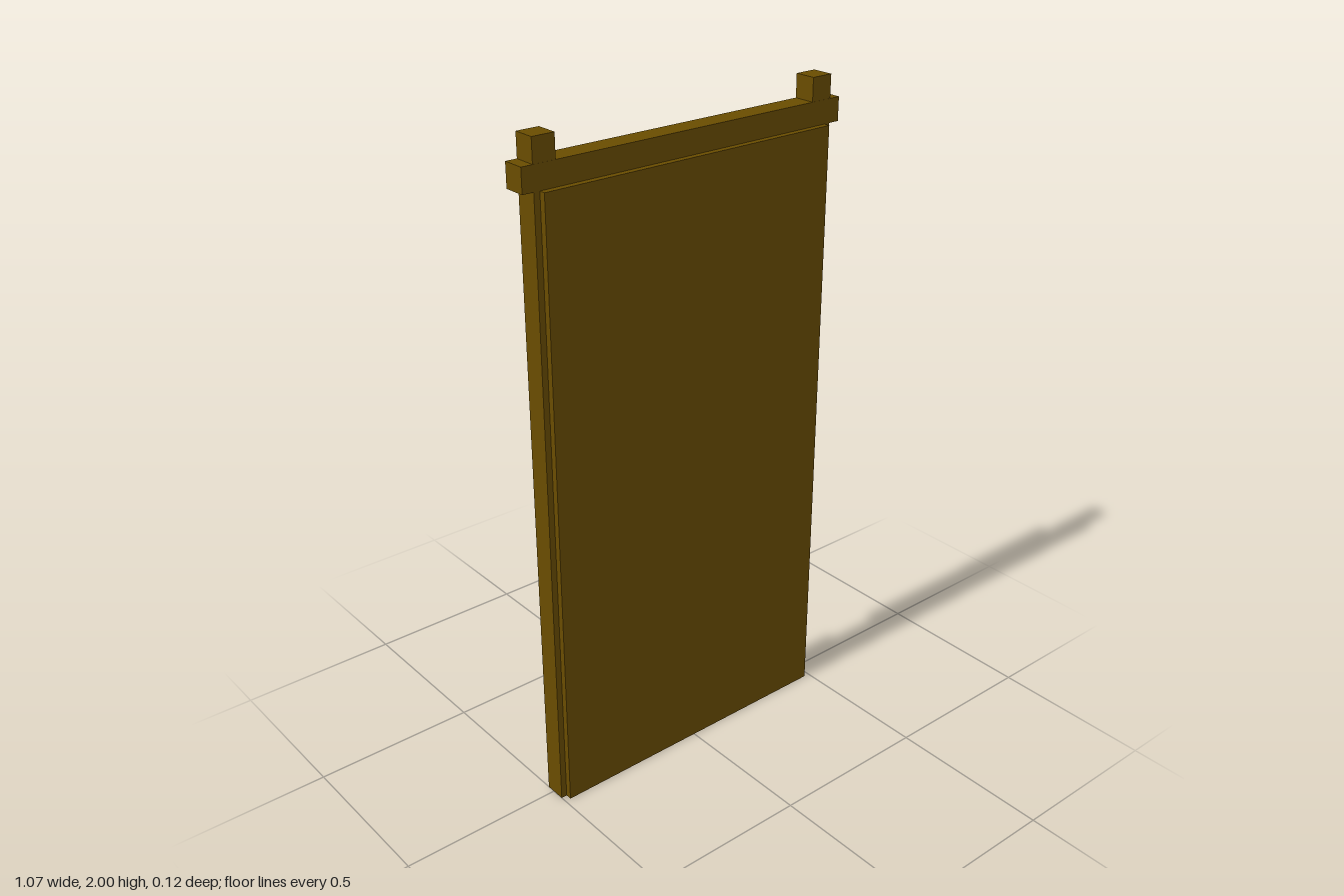
import * as THREE from 'three';

export function createModel() {
  const door = new THREE.Group();
  door.name = 'plankDoor';
  const wood = new THREE.MeshStandardMaterial({ name: 'wood', color: 0x694c00 });
  const iron = new THREE.MeshStandardMaterial({ name: 'iron', color: 0x757676 });
  const darkIron = new THREE.MeshStandardMaterial({ name: 'darkIron', color: 0x55565a });
  const seamBlack = new THREE.MeshStandardMaterial({ name: 'seamBlack', color: 0x080704 });

  const add = (name, geometry, material) => {
    const mesh = new THREE.Mesh(geometry, material);
    mesh.name = name;
    door.add(mesh);
    return mesh;
  };
  // Box given by its extents on each axis
  const box = (name, x0, x1, y0, y1, z0, z1, material = wood) =>
    add(name, new THREE.BoxGeometry(x1 - x0, y1 - y0, z1 - z0), material)
      .position.set((x0 + x1) / 2, (y0 + y1) / 2, (z0 + z1) / 2);

  const back = -0.026, front = 0.04, battenBack = -0.06, top = 1.863;

  // Frame: two posts and the crossbar over them
  box('rightPost', -0.5, -0.432, 0, 2, back, front);
  box('leftPost', 0.432, 0.5, 0, 2, back, front);
  box('crossbar', -0.534, 0.534, top, 1.932, back - 0.0003, front + 0.0003);

  // Flat front panel, core and the dark backing seen between the planks
  box('frontPanel', -0.482, 0.482, 0, top, front, 0.059);
  box('core', -0.432, 0.432, 0, top, -0.018, front);
  box('seamBacking', -0.432, 0.432, 0.001, top, -0.02, -0.018, seamBlack);

  // Planks, separated by narrow gaps
  const seams = [-0.426, -0.265, -0.112, 0.038, 0.188, 0.272, 0.426];
  for (let i = 0; i < seams.length - 1; i++) {
    box('plank' + (i + 1), seams[i] + 0.005, seams[i + 1] - 0.005, 0, top, back, -0.02);
  }

  // Horizontal battens on the back
  box('topBatten', -0.43, 0.43, 1.588, 1.728, battenBack, back);
  box('bottomBatten', -0.43, 0.43, 0.207, 0.343, battenBack, back);

  // Diagonal brace between the battens
  const brace = new THREE.Shape([[0.375, 1.588], [0.215, 1.588], [-0.37, 0.343], [-0.21, 0.343]]
    .map(([x, y]) => new THREE.Vector2(x, y)));
  add('diagonalBrace', new THREE.ExtrudeGeometry(brace, { depth: 0.012, bevelEnabled: false }), wood)
    .position.z = -0.037;

  // Rounded nail plates, flush with the wood and facing back
  const w = 0.035, r = 0.016;
  const plate = new THREE.Shape();
  plate.absarc(w - r, w - r, r, 0, Math.PI / 2);
  plate.absarc(r - w, w - r, r, Math.PI / 2, Math.PI);
  plate.absarc(r - w, r - w, r, Math.PI, Math.PI * 1.5);
  plate.absarc(w - r, r - w, r, Math.PI * 1.5, Math.PI * 2);
  const plateGeometry = new THREE.ShapeGeometry(plate, 6).rotateY(Math.PI);
  [
    [0.466, 1.898, back], [-0.466, 1.898, back],
    [0.328, 1.656, battenBack], [-0.362, 1.653, battenBack],
    [0.363, 0.277, battenBack], [-0.327, 0.274, battenBack],
  ].forEach(([x, y, z], i) => {
    add('nailPlate' + (i + 1), plateGeometry, iron).position.set(x, y, z - 0.001);
  });

  // Pull ring hanging from a small loop
  add('pullRing', new THREE.TorusGeometry(0.079, 0.01, 6, 32), darkIron).position.set(-0.329, 0.868, -0.034);
  const loop = new THREE.Shape().absarc(0, 0, 0.029, 0, Math.PI * 2);
  loop.holes.push(new THREE.Path().absarc(0, 0, 0.024, 0, Math.PI * 2, true));
  const loopMesh = add('ringLoop',
    new THREE.ExtrudeGeometry(loop, { depth: 0.026, bevelEnabled: false, curveSegments: 10 }), iron);
  loopMesh.rotation.y = Math.PI / 2;
  loopMesh.position.set(-0.342, 0.958, -0.03);

  return door;
}
